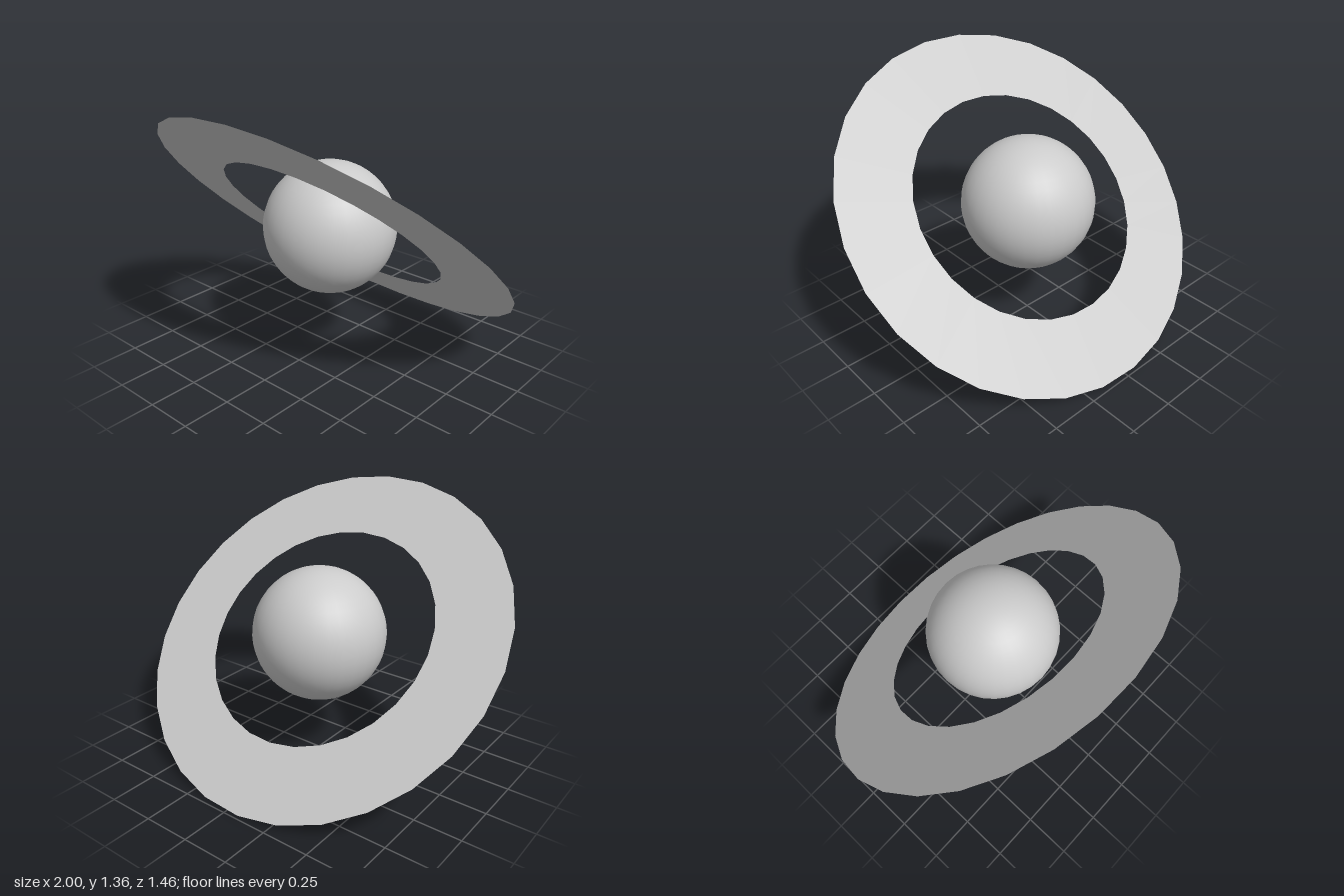
import * as THREE from 'three';

const CENTER_Y = 0.683;
const RING_SEGMENTS = 28;

export function createModel() {
  const model = new THREE.Group();
  model.name = 'ringedPlanet';

  // Smooth globe
  const planet = new THREE.Mesh(
    new THREE.SphereGeometry(0.346, 32, 24),
    new THREE.MeshStandardMaterial({ color: 0xcccccc })
  );
  planet.name = 'planet';
  planet.position.set(-0.005, CENTER_Y + 0.002, -0.002);
  model.add(planet);

  // Flat faceted ring, tilted up towards the front
  const ring = new THREE.Mesh(
    new THREE.RingGeometry(0.621, 1, RING_SEGMENTS, 1, THREE.MathUtils.degToRad(8.9)),
    new THREE.MeshStandardMaterial({ color: 0xcccccc, side: THREE.DoubleSide })
  );
  ring.name = 'ring';
  ring.position.y = CENTER_Y;
  ring.rotation.x = Math.atan2(0.728, 0.68);
  model.add(ring);

  return model;
}
